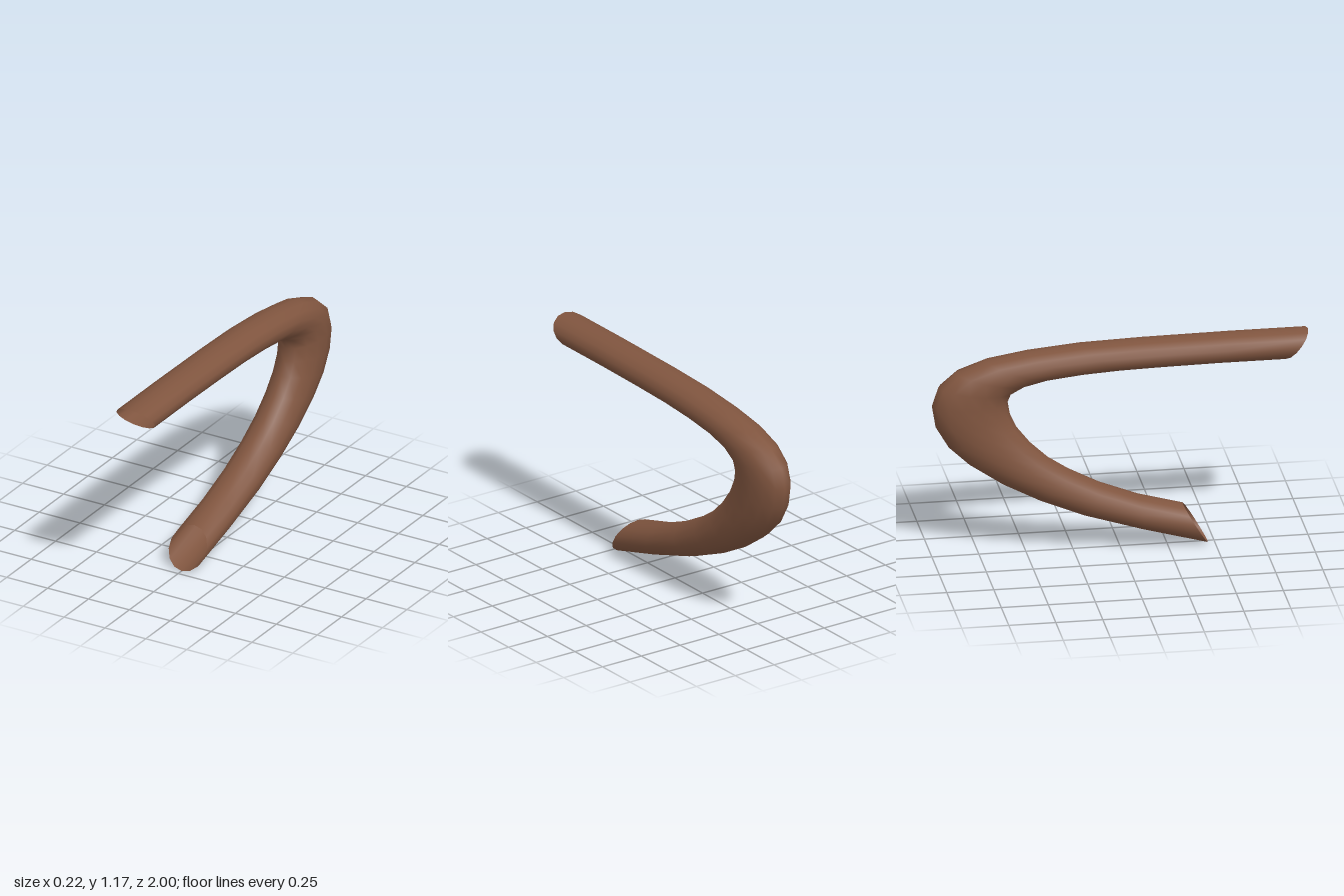
import * as THREE from 'three';

// Side profile: [outer z, outer y, inner z, inner y] for each ring, upper end to lower end
const RINGS = [
  [1, 1.17, 0.87, 1.015], [0.6, 1.17, 0.52, 1.015], [0.115, 1.165, 0.23, 1.011],
  [-0.217, 1.155, 0.01, 1.006], [-0.5, 1.13, -0.19, 0.995], [-0.715, 1.095, -0.378, 0.975],
  [-0.875, 1.037, -0.5, 0.947], [-0.967, 0.957, -0.575, 0.908], [-1, 0.855, -0.597, 0.855],
  [-0.98, 0.735, -0.585, 0.785], [-0.91, 0.615, -0.55, 0.71], [-0.8, 0.51, -0.48, 0.62],
  [-0.64, 0.4, -0.385, 0.53], [-0.44, 0.295, -0.26, 0.445], [-0.2, 0.195, -0.1, 0.36],
  [0.12, 0.095, 0.1, 0.28], [0.465, 0, 0.335, 0.215],
];
const SIDES = 14;
const HALF_WIDTH = 0.112;

// Open tube whose elliptical rings span from the outer to the inner edge
function bentTubeGeometry() {
  const positions = [];
  const index = [];
  RINGS.forEach(([oz, oy, iz, iy], i) => {
    for (let j = 0; j < SIDES; j++) {
      const a = (j / SIDES) * Math.PI * 2;
      const t = (1 - Math.cos(a)) / 2;
      positions.push(
        Math.sin(a) * HALF_WIDTH,
        THREE.MathUtils.lerp(oy, iy, t),
        THREE.MathUtils.lerp(oz, iz, t),
      );
      if (i === RINGS.length - 1) continue;
      const p = i * SIDES + j;
      const q = i * SIDES + ((j + 1) % SIDES);
      index.push(p, q, p + SIDES, q, q + SIDES, p + SIDES);
    }
  });
  const geometry = new THREE.BufferGeometry();
  geometry.setAttribute('position', new THREE.Float32BufferAttribute(positions, 3));
  geometry.setIndex(index);
  geometry.computeVertexNormals();
  return geometry;
}

export function createModel() {
  const group = new THREE.Group();
  group.name = 'bentHandle';
  const material = new THREE.MeshStandardMaterial({ color: 0x80553f, side: THREE.DoubleSide });
  const tube = new THREE.Mesh(bentTubeGeometry(), material);
  tube.name = 'bentTube';
  group.add(tube);
  return group;
}
